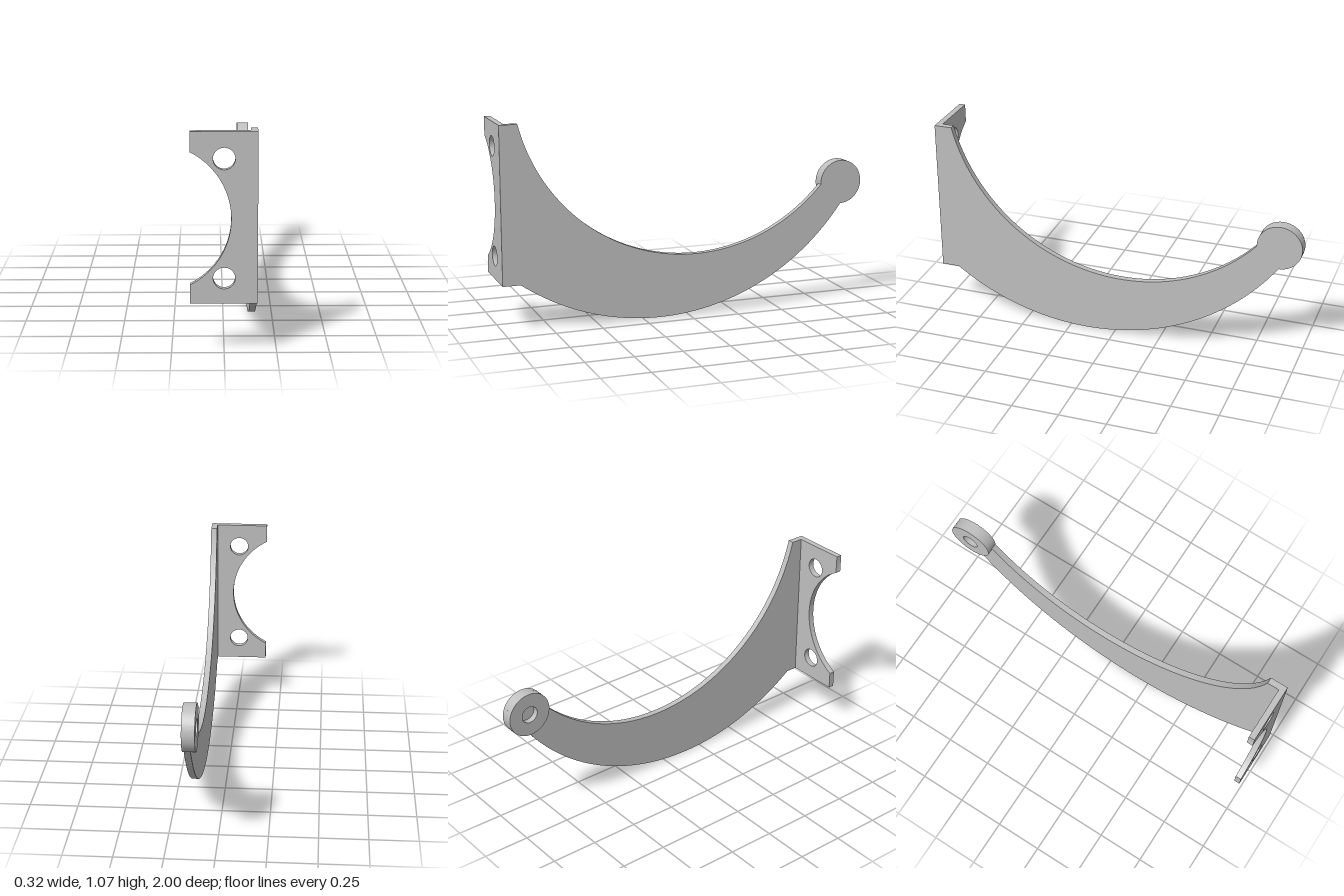
import * as THREE from 'three';
import { toCreasedNormals } from 'three/addons/utils/BufferGeometryUtils.js';

const metal = new THREE.MeshStandardMaterial({ color: 0xbfbfbf });
metal.name = 'grey metal';

function extrude(name, shape, depth) {
  const geo = new THREE.ExtrudeGeometry(shape, { depth, bevelEnabled: false, curveSegments: 48 });
  const mesh = new THREE.Mesh(toCreasedNormals(geo, 0.5), metal);
  mesh.name = name;
  return mesh;
}

function circle(x, y, r) {
  return new THREE.Path().absarc(x, y, r, 0, Math.PI * 2, true);
}

// arc around (cx, cy) between two points
function arc(shape, cx, cy, r, from, to, clockwise) {
  const angle = ([x, y]) => Math.atan2(y - cy, x - cx);
  shape.absarc(cx, cy, r, angle(from), angle(to), clockwise);
}

export function createModel() {
  const group = new THREE.Group();
  group.name = 'bracket';
  const LEFT = 0.158, INNER = 0.125, BASE = 0.243, TOP = 1.067;
  const tip = [0.88, 0.655], tipR = 0.118;

  // curved arm plate with round tip, drawn with -z to the right
  const side = new THREE.Shape();
  side.moveTo(-1, BASE);
  side.lineTo(-0.905, BASE);
  arc(side, -0.158, 1.272, 1.272, [-0.905, BASE], [0.88, 0.537], false);
  side.absarc(tip[0], tip[1], tipR, -Math.PI / 2, Math.PI * 1.015, false);
  arc(side, 0.04, 1.3, 0.973, [0.762, 0.648], [-0.905, TOP], true);
  side.lineTo(-1, TOP);
  side.closePath();
  const arm = extrude('arm', side, LEFT - INNER);
  arm.rotation.y = Math.PI / 2;
  arm.position.x = INNER;
  group.add(arm);

  // raised ring on the inner side of the tip, leaving a blind hole
  const ring = new THREE.Shape().absarc(tip[0], tip[1], tipR, 0, Math.PI * 2, false);
  ring.holes.push(circle(tip[0], tip[1], 0.045));
  const boss = extrude('tipBoss', ring, INNER - 0.093);
  boss.rotation.y = Math.PI / 2;
  boss.position.x = 0.093;
  group.add(boss);

  // mounting flange with curved cut-out and two screw holes
  const plate = new THREE.Shape();
  plate.moveTo(-0.16, BASE);
  plate.lineTo(INNER, BASE);
  plate.lineTo(INNER, TOP);
  plate.lineTo(-0.16, TOP);
  plate.lineTo(-0.16, 0.971);
  arc(plate, -0.325, 0.653, 0.358, [-0.16, 0.971], [-0.16, 0.335], true);
  plate.closePath();
  for (const y of [0.367, 0.939]) plate.holes.push(circle(0, y, 0.052));
  const flange = extrude('mountingFlange', plate, 0.032);
  flange.position.z = 0.968;
  group.add(flange);

  return group;
}
